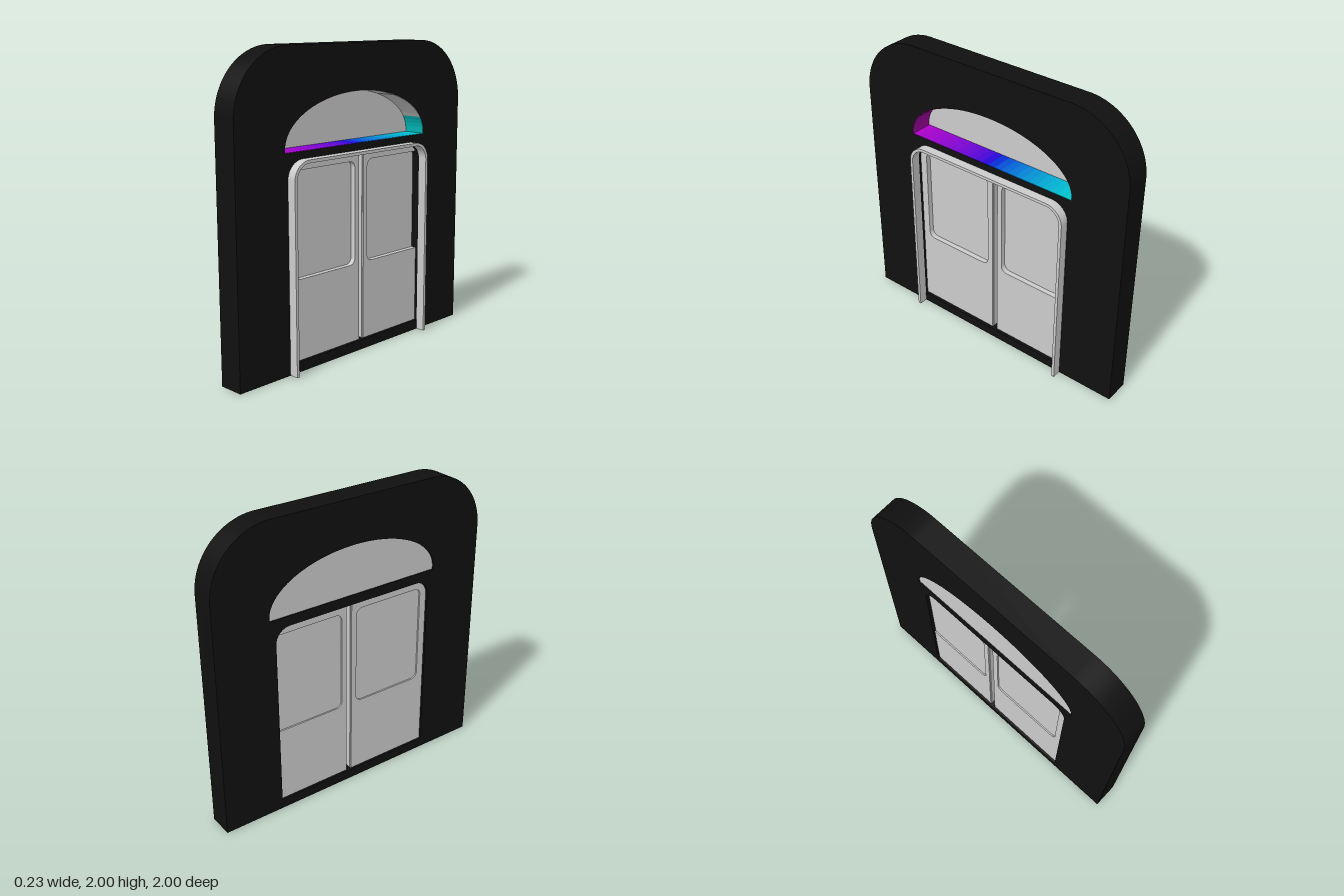
import * as THREE from 'three';
import { toCreasedNormals } from 'three/addons/utils/BufferGeometryUtils.js';

const black = new THREE.MeshStandardMaterial({ color: 0x101010 });
const grey = new THREE.MeshStandardMaterial({ color: 0xcccccc });

// Profiles are drawn in (-z, y) and extruded along x from x0 to x1.
function slab(name, shape, x0, x1, material) {
  let geo = new THREE.ExtrudeGeometry(shape, { depth: x1 - x0, bevelEnabled: false, curveSegments: 24 });
  geo = toCreasedNormals(geo.rotateY(Math.PI / 2).translate(x0, 0, 0), 0.5);
  const mesh = new THREE.Mesh(geo, material);
  mesh.name = name;
  return mesh;
}

function box(name, x0, x1, y0, y1, z0, z1, material) {
  const mesh = new THREE.Mesh(new THREE.BoxGeometry(x1 - x0, y1 - y0, z1 - z0), material);
  mesh.position.set((x0 + x1) / 2, (y0 + y1) / 2, (z0 + z1) / 2);
  mesh.name = name;
  return mesh;
}

// Continues a path from bottom left (-w, 0) over rounded top corners to (w, 0).
function archOver(path, w, h, r) {
  path.lineTo(-w, h - r);
  path.absellipse(-w + r, h - r, r, r, Math.PI, Math.PI / 2, true);
  path.lineTo(w - r, h);
  path.absellipse(w - r, h - r, r, r, Math.PI / 2, 0, true);
  path.lineTo(w, 0);
}

// Same run in the other direction.
function archBack(path, w, h, r) {
  path.lineTo(w, 0);
  path.lineTo(w, h - r);
  path.absellipse(w - r, h - r, r, r, 0, Math.PI / 2, false);
  path.lineTo(-w + r, h);
  path.absellipse(-w + r, h - r, r, r, Math.PI / 2, Math.PI, false);
  path.lineTo(-w, 0);
}

function portal(w, h, r, iw, ih, ir) {
  const s = new THREE.Shape();
  s.moveTo(-w, 0);
  archOver(s, w, h, r);
  archBack(s, iw, ih, ir);
  s.closePath();
  return s;
}

function roundRect(path, x0, x1, y0, y1, r) {
  path.moveTo(x0 + r, y0);
  path.lineTo(x1 - r, y0);
  path.absarc(x1 - r, y0 + r, r, -Math.PI / 2, 0, false);
  path.lineTo(x1, y1 - r);
  path.absarc(x1 - r, y1 - r, r, 0, Math.PI / 2, false);
  path.lineTo(x0 + r, y1);
  path.absarc(x0 + r, y1 - r, r, Math.PI / 2, Math.PI, false);
  path.lineTo(x0, y0 + r);
  path.absarc(x0 + r, y0 + r, r, Math.PI, Math.PI * 1.5, false);
  return path;
}

// Half-elliptical opening over the door.
function lunette(path) {
  path.moveTo(-0.625, 1.375);
  path.lineTo(0.625, 1.375);
  path.lineTo(0.625, 1.395);
  path.absellipse(0, 1.395, 0.625, 0.31, 0, Math.PI, false);
  path.closePath();
  return path;
}

// Door leaf between u0 and u1 (u = -z) with a recessed window.
function doorLeaf(name, u0, u1, w0, w1) {
  const leaf = new THREE.Group();
  leaf.name = name;
  const s = new THREE.Shape();
  s.moveTo(u0, 0.002);
  s.lineTo(u1, 0.002);
  s.lineTo(u1, 1.325);
  s.lineTo(u0, 1.325);
  s.closePath();
  s.holes.push(roundRect(new THREE.Path(), w0, w1, 0.585, 1.26, 0.045));
  leaf.add(slab('leafPanel', s, -0.1, 0.035, grey));
  leaf.add(slab('leafWindow', roundRect(new THREE.Shape(), w0, w1, 0.585, 1.26, 0.045), -0.09, 0, grey));
  return leaf;
}

// Coloured lining strips around the inside of the lunette.
function lunetteLining() {
  const group = new THREE.Group();
  group.name = 'lunetteLining';
  const strip = (a, b, color) => {
    const len = Math.hypot(b[0] - a[0], b[1] - a[1]);
    const mesh = new THREE.Mesh(new THREE.BoxGeometry(0.15, 0.003, len), new THREE.MeshStandardMaterial({ color }));
    mesh.position.set(-0.022, (a[1] + b[1]) / 2, (a[0] + b[0]) / 2);
    mesh.rotation.x = -Math.atan2(b[1] - a[1], b[0] - a[0]);
    mesh.name = 'liningStrip';
    group.add(mesh);
  };
  const magenta = new THREE.Color(0xb000c8), blue = new THREE.Color(0x0808d8), cyan = new THREE.Color(0x00cccc);
  // Ledge fades along its length
  const n = 24;
  for (let i = 0; i < n; i++) {
    const t = (i + 0.5) / n;
    const c = t < 0.5 ? magenta.clone().lerp(blue, t * 2) : blue.clone().lerp(cyan, t * 2 - 1);
    strip([0.625 - 1.25 * i / n, 1.376], [0.625 - 1.25 * (i + 1) / n, 1.376], c);
  }
  // Curved part
  const m = 40;
  const at = (i) => [0.624 * Math.cos(Math.PI * i / m), 1.395 + 0.309 * Math.sin(Math.PI * i / m)];
  for (let i = 0; i < m; i++) {
    const z = at(i + 0.5)[0];
    strip(at(i), at(i + 1), z > 0.22 ? 0xa000a0 : z < -0.59 ? 0x00b4b4 : 0xcccccc);
  }
  strip([0.624, 1.376], [0.624, 1.395], 0xa000a0);
  strip([-0.624, 1.376], [-0.624, 1.395], 0x00b4b4);
  return group;
}

export function createModel() {
  const model = new THREE.Group();
  model.name = 'doorway';

  // Wall with door opening and lunette
  const wall = portal(1, 2, 0.41, 0.585, 1.31, 0.1);
  wall.holes.push(lunette(new THREE.Path()));
  model.add(slab('wall', wall, -0.115, 0.055, black));
  model.add(slab('lunettePane', lunette(new THREE.Shape()), -0.108, -0.098, grey));
  model.add(lunetteLining());

  // Raised door surround
  model.add(slab('doorSurround', portal(0.605, 1.33, 0.12, 0.585, 1.31, 0.1), 0.055, 0.115, grey));

  // Sill in front of and behind the leaves, and across the gap
  model.add(box('frontSill', 0.035, 0.055, 0, 0.065, -0.585, 0.585, black));
  model.add(box('backSill', -0.115, -0.1, 0, 0.065, -0.585, 0.585, black));
  model.add(box('gapSill', -0.1, 0.035, 0, 0.065, -0.055, -0.025, black));

  // Sliding leaves, their outer edges running into the wall
  model.add(doorLeaf('leftLeaf', -0.63, 0.02, -0.535, -0.02 + 0.002));
  model.add(doorLeaf('rightLeaf', 0.06, 0.68, 0.095, 0.66));
  model.add(box('leftSeal', -0.09, 0.025, 0.002, 1.32, -0.025, -0.02, grey));
  model.add(box('rightSeal', -0.09, 0.025, 0.002, 1.32, -0.06, -0.055, grey));
  return model;
}
